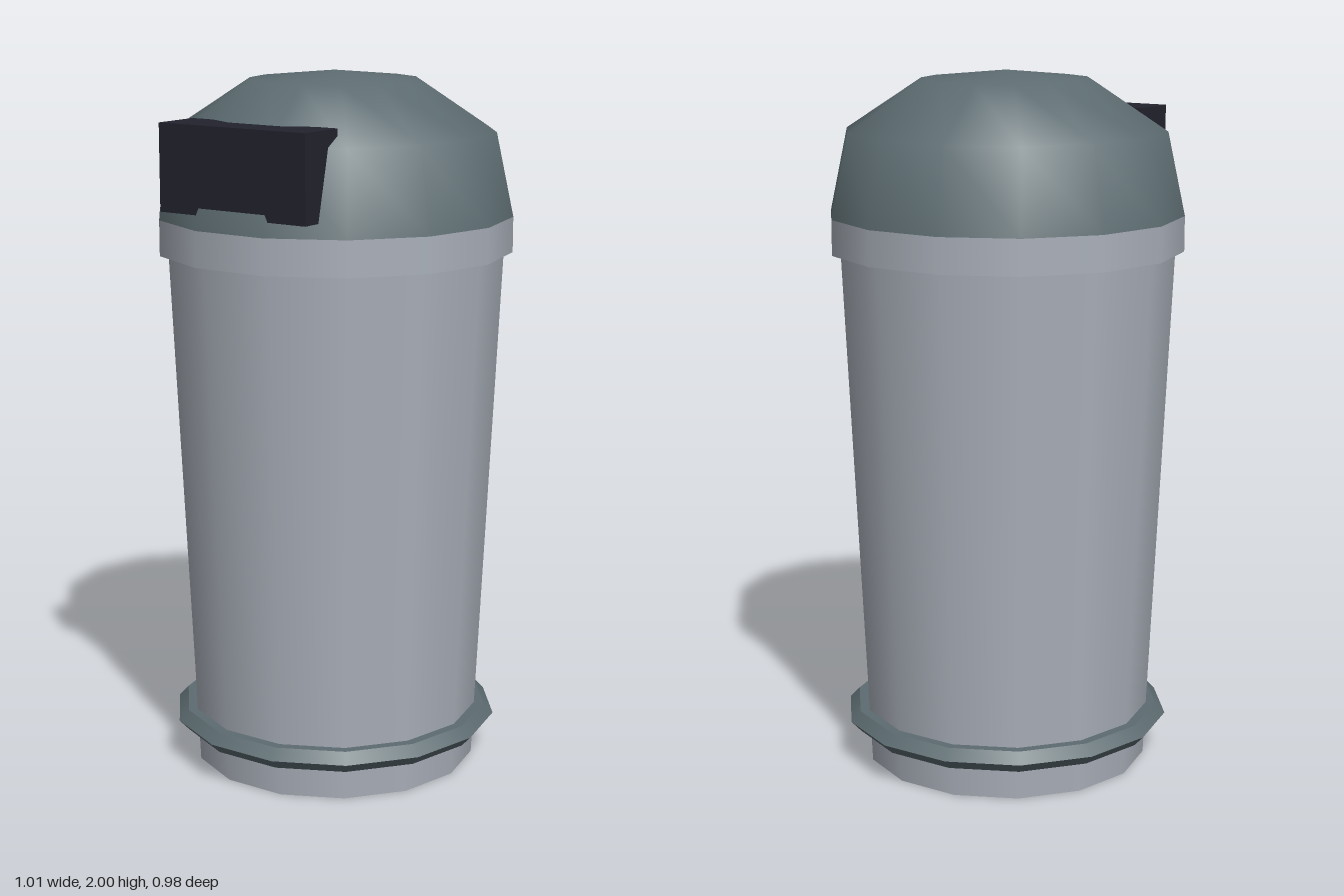
import * as THREE from 'three';

const SIDES = 14;

const material = (name, color) => {
  const m = new THREE.MeshStandardMaterial({ color });
  m.name = name;
  return m;
};

// Revolved profile, listed bottom to top; a repeated point makes a sharp edge.
function turned(name, points, mat) {
  const profile = points.map(([r, y]) => new THREE.Vector2(r, y));
  const geometry = new THREE.LatheGeometry(profile, SIDES);
  geometry.rotateY(Math.PI / 2); // corners on the x axis
  const mesh = new THREE.Mesh(geometry, mat);
  mesh.name = name;
  return mesh;
}

// Repeats inner points so every profile corner is creased.
const creased = (pts) =>
  pts.flatMap((p, i) => (i === 0 || i === pts.length - 1 ? [p] : [p, p]));

export function createModel() {
  const steel = material('light grey metal', 0xaab0ba);
  const slate = material('slate lid', 0x5d6c71);
  const black = material('black plastic', 0x23222e);

  const bin = new THREE.Group();
  bin.name = 'bin';

  // Tapered body with closed floor
  bin.add(turned('body', creased([[0, 0], [0.41, 0], [0.48, 1.5]]), steel));

  // Bumper ring near the floor
  bin.add(turned('footRing', creased([
    [0.405, 0.095], [0.445, 0.095], [0.473, 0.125], [0.445, 0.155], [0.405, 0.155],
  ]), slate));

  // Collar under the lid
  bin.add(turned('collar', creased([[0.46, 1.5], [0.505, 1.5], [0.505, 1.6]]), steel));

  // Domed lid
  bin.add(turned('lid', [[0.505, 1.6], [0.455, 1.834], [0.24, 1.976], [0, 2]], slate));

  // Flap box set into the front of the lid
  const flap = new THREE.Mesh(new THREE.BoxGeometry(0.48, 0.24, 0.145), black);
  flap.name = 'flap';
  flap.position.set(0, 1.76, 0.4075);
  bin.add(flap);

  return bin;
}
